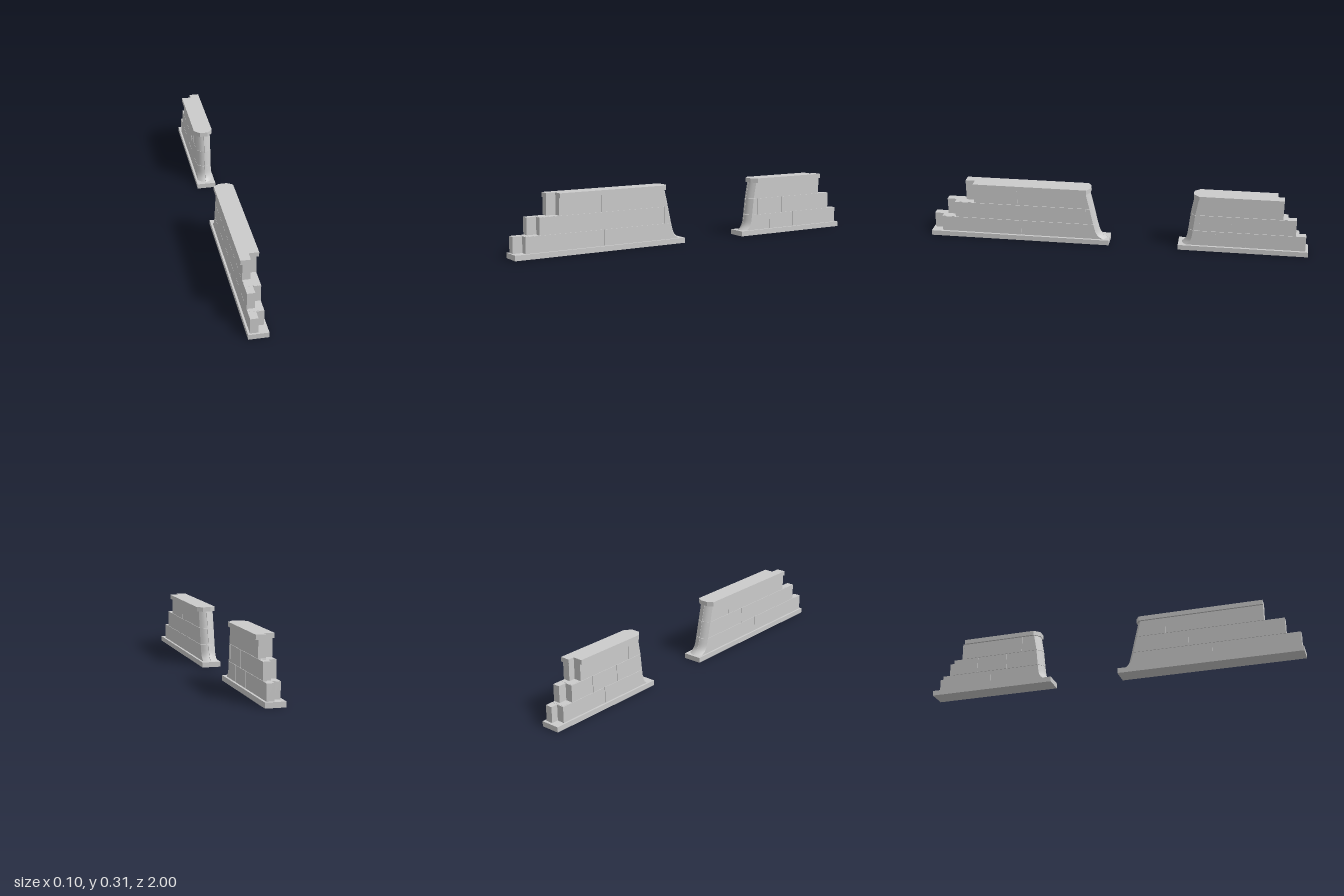
import * as THREE from 'three';

const material = new THREE.MeshStandardMaterial({ color: 0xcccccc, side: THREE.DoubleSide });
const HALF = 0.05;        // half width of base and cap
const BODY = 0.04;        // half width of the masonry
const GAP = 0.0015;       // joint width around the blocks
const LEVELS = [0.027, 0.11, 0.198, 0.285, 0.309];

// Distances d run along the wall; dir (+1 or -1) turns them into z.
// ends: outer end of each course [x < 0, x > 0]; joints: vertical joints likewise.
const WALLS = [
  {
    name: 'longWall', dir: 1, start: 0.04, pull: 0.022, cap: [0.138, 0.157],
    ends: [[0.99, 0.94], [0.915, 0.865], [0.81, 0.76]],
    joints: [[[0.54], [0.51]], [[0.42], [0.16]], [[0.3], [0.525]]],
    profile: [[0.027, 0.052], [0.04, 0.075], [0.06, 0.09], [0.11, 0.103], [0.198, 0.122], [0.285, 0.142]],
  },
  {
    name: 'shortWall', dir: -1, start: 0.325, pull: 0.028, cap: [0.4, 0.43],
    ends: [[0.95, 0.985], [0.89, 0.932], [0.83, 0.863]],
    joints: [[[0.67], [0.52, 0.68]], [[0.583, 0.75], [0.435, 0.6]], [[0.497], []]],
    profile: [[0.027, 0.343], [0.04, 0.357], [0.06, 0.369], [0.11, 0.376], [0.198, 0.386], [0.285, 0.402]],
  },
];

function box(name, x0, x1, y0, y1, z0, z1, segX = 1, segY = 1) {
  const g = new THREE.BoxGeometry(x1 - x0, y1 - y0, Math.abs(z1 - z0), segX, segY, 1);
  g.translate((x0 + x1) / 2, (y0 + y1) / 2, (z0 + z1) / 2);
  const mesh = new THREE.Mesh(g, material);
  mesh.name = name;
  return mesh;
}

// Worn end face: a leaning, flared profile whose corners are rounded back
function wornEnd(wall, x, y) {
  const p = wall.profile;
  let i = 0;
  while (i < p.length - 2 && y > p[i + 1][0]) i++;
  const t = THREE.MathUtils.clamp((y - p[i][0]) / (p[i + 1][0] - p[i][0]), 0, 1);
  const d = THREE.MathUtils.lerp(p[i][1], p[i + 1][1], t);
  return d + wall.pull * Math.pow(Math.abs(x) / BODY, 2);
}

// Block whose inner end follows the worn face
function wornBlock(wall, x0, x1, y0, y1, d1) {
  const d0 = wall.start;
  const mesh = box('wornBlock', x0, x1, y0, y1, wall.dir * d0, wall.dir * d1, 4, 6);
  const pos = mesh.geometry.attributes.position;
  for (let i = 0; i < pos.count; i++) {
    if (wall.dir * pos.getZ(i) < d0 + 0.001) {
      pos.setZ(i, wall.dir * wornEnd(wall, pos.getX(i), pos.getY(i)));
    }
  }
  mesh.geometry.computeVertexNormals();
  return mesh;
}

// Cap slab: stepped outer end, chamfered inner end
function makeCap(wall) {
  const [tip, side] = wall.cap;
  const [left, right] = wall.ends[2];
  const outline = [
    [-HALF, side], [-0.022, tip], [0.022, tip], [HALF, side],
    [HALF, right], [0, right], [0, left], [-HALF, left],
  ].map(([x, d]) => new THREE.Vector2(x, -wall.dir * d));
  const g = new THREE.ExtrudeGeometry(new THREE.Shape(outline), {
    depth: LEVELS[4] - LEVELS[3], bevelEnabled: false,
  });
  g.rotateX(-Math.PI / 2).translate(0, LEVELS[3], 0);
  const mesh = new THREE.Mesh(g, material);
  mesh.name = 'cap';
  return mesh;
}

function makeWall(wall) {
  const group = new THREE.Group();
  group.name = wall.name;
  const { dir } = wall;
  group.add(box('base', -HALF, HALF, 0, LEVELS[0], dir * wall.start, dir));

  for (let c = 0; c < 3; c++) {
    const y0 = LEVELS[c] + (c ? GAP / 2 : 0);
    const y1 = LEVELS[c + 1] - (c < 2 ? GAP / 2 : 0);
    // Two skins of blocks, one on each side of the middle
    for (let s = 0; s < 2; s++) {
      const x0 = s ? GAP / 2 : -BODY;
      const x1 = s ? BODY - 0.002 : -GAP / 2;
      const cuts = [...wall.joints[c][s], wall.ends[c][s]];
      cuts.forEach((d, i) => {
        const d1 = i < cuts.length - 1 ? d - GAP : d;
        group.add(i === 0
          ? wornBlock(wall, x0, x1, y0, y1, d1)
          : box('block', x0, x1, y0, y1, dir * (cuts[i - 1] + GAP), dir * d1));
      });
    }
    // Core closes the joints from inside
    const inner = wornEnd(wall, BODY, LEVELS[c + 1]) + 0.004;
    const outer = Math.min(...wall.ends[c]) - 0.004;
    group.add(box('core', -BODY + 0.004, BODY - 0.006, LEVELS[c], LEVELS[c + 1], dir * inner, dir * outer));
  }
  group.add(makeCap(wall));
  return group;
}

export function createModel() {
  const model = new THREE.Group();
  model.name = 'brokenWall';
  WALLS.forEach((wall) => model.add(makeWall(wall)));
  return model;
}
